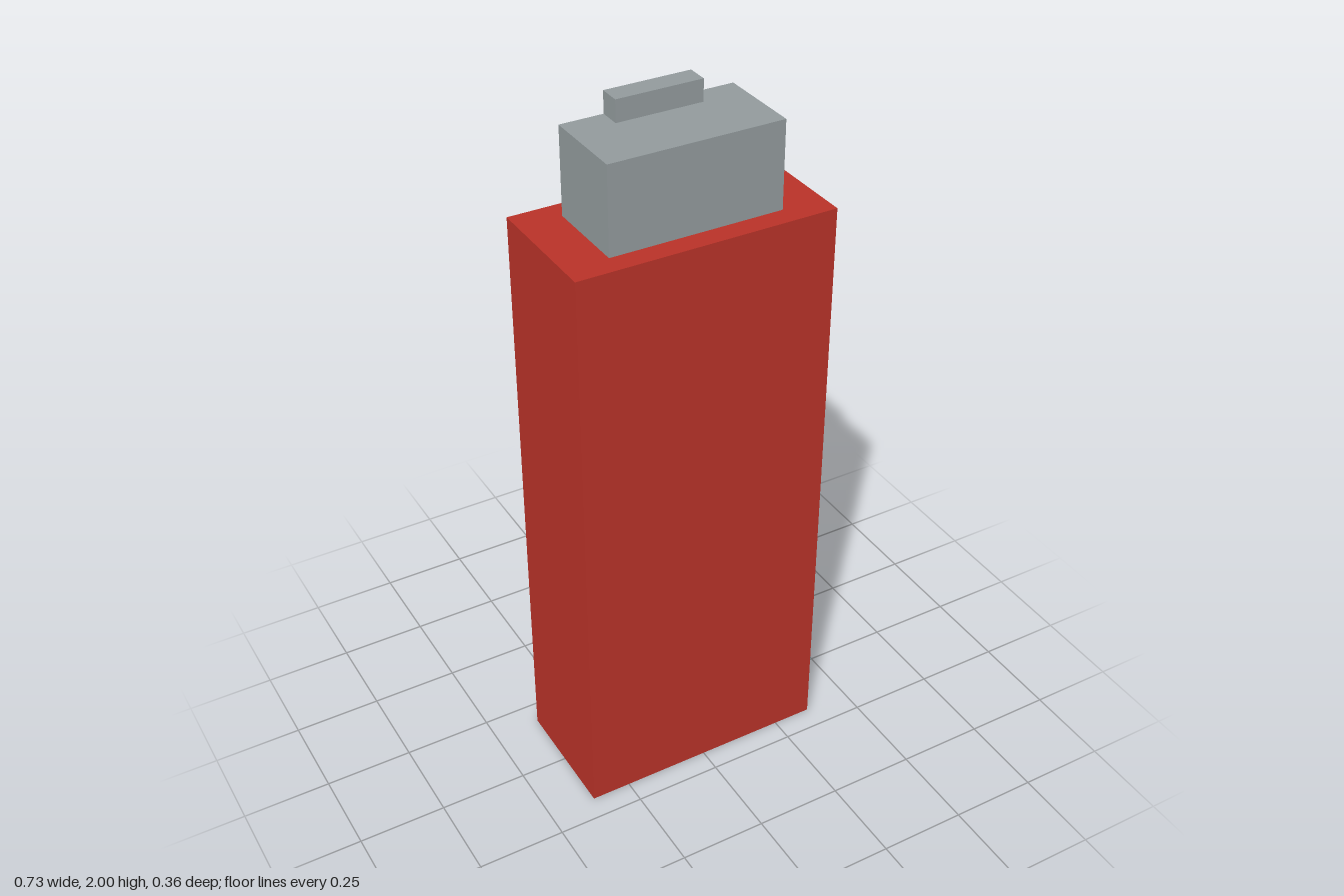
import * as THREE from 'three';

// All parts sit on a grid of 33 steps over the full height of 2
const U = 2 / 33;

export function createModel() {
  const red = new THREE.MeshStandardMaterial({ color: 0xb83228 });
  red.name = 'red casing';
  const grey = new THREE.MeshStandardMaterial({ color: 0x929a9c });
  grey.name = 'grey metal';

  const model = new THREE.Group();
  model.name = 'lighter';

  // Box resting on height y, centred on x, with its middle at z (grid steps)
  const addBox = (name, material, w, h, d, y, z = 0) => {
    const mesh = new THREE.Mesh(new THREE.BoxGeometry(w * U, h * U, d * U), material);
    mesh.name = name;
    mesh.position.set(0, (y + h / 2) * U, z * U);
    model.add(mesh);
  };

  addBox('body', red, 12, 28, 6, 0);
  addBox('head', grey, 8, 4, 4, 28);
  // Small ridge along the back edge of the head
  addBox('topRidge', grey, 4, 1, 1, 32, -1.5);

  return model;
}
